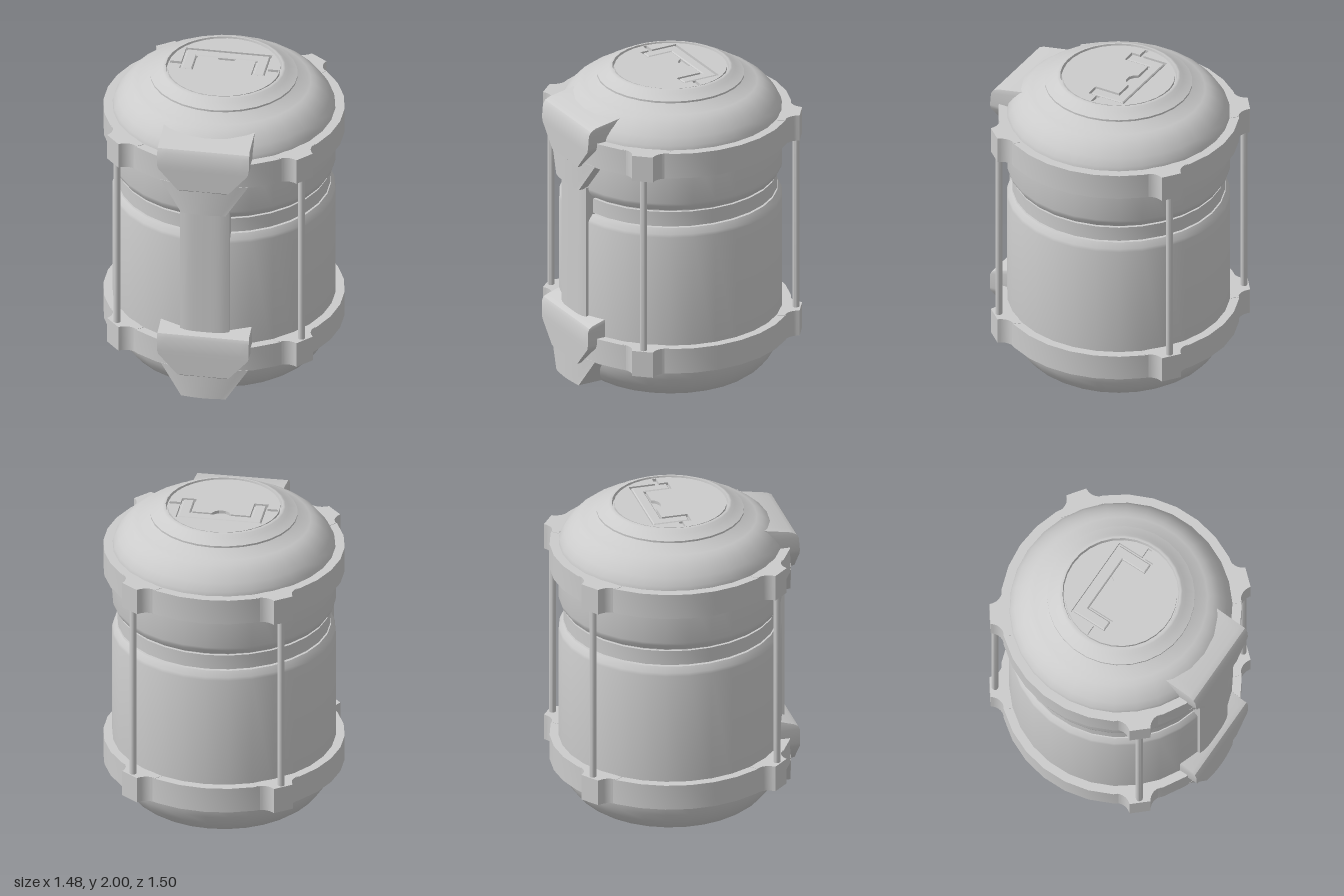
import * as THREE from 'three';
import { toCreasedNormals } from 'three/addons/utils/BufferGeometryUtils.js';

const SIDES = 30;
const material = new THREE.MeshStandardMaterial({ color: 0xcccccc });

function part(name, geometry, crease = 0.5) {
  const mesh = new THREE.Mesh(toCreasedNormals(geometry, crease), material);
  mesh.name = name;
  return mesh;
}

function lathe(name, profile) {
  return part(name, new THREE.LatheGeometry(profile.map(p => new THREE.Vector2(...p)), SIDES));
}

// A box reshaped row by row, bottom to top: [half width, front y, front z, back y, back z].
// bend(x, z) may curve the front face.
function slab(name, rows, bend = (x, z) => z) {
  const geo = new THREE.BoxGeometry(1, 1, 1, 10, rows.length - 1, 1);
  const p = geo.attributes.position;
  for (let i = 0; i < p.count; i++) {
    const [hw, fy, fz, by, bz] = rows[Math.round((p.getY(i) + 0.5) * (rows.length - 1))];
    const x = p.getX(i) * 2 * hw;
    if (p.getZ(i) > 0) p.setXYZ(i, x, fy, bend(x, fz));
    else p.setXYZ(i, x, by, bz);
  }
  return part(name, geo);
}

// Flat outline in the x / -z plane, extruded upwards from y
function flat(name, shape, y, height, bevel = 0) {
  const geo = new THREE.ExtrudeGeometry(shape, {
    depth: height - bevel, curveSegments: 15, bevelEnabled: bevel > 0,
    bevelThickness: bevel, bevelSize: bevel, bevelOffset: -bevel, bevelSegments: 1
  });
  geo.rotateX(-Math.PI / 2).translate(0, y, 0);
  return part(name, geo);
}

// U-shaped outline from its right half, mirrored to the left
function mirrored(half) {
  const left = half.map(([x, y]) => [-x, y]).reverse();
  return [...half, ...left].map(p => new THREE.Vector2(...p));
}

export function createModel() {
  const model = new THREE.Group();
  model.name = 'canister';

  // Body with a double groove, rounded shoulders and a stepped top
  model.add(lathe('body', [
    [0, 0], [0.3, 0.01], [0.55, 0.03], [0.59, 0.06], [0.63, 0.11], [0.665, 0.17], [0.685, 0.24],
    [0.69, 0.3], [0.69, 1.14], [0.685, 1.16], [0.662, 1.195], [0.64, 1.195], [0.64, 1.205],
    [0.658, 1.205], [0.658, 1.3], [0.64, 1.3], [0.64, 1.315], [0.662, 1.315], [0.685, 1.35],
    [0.69, 1.37], [0.69, 1.72], [0.682, 1.755], [0.655, 1.80], [0.615, 1.85], [0.57, 1.885],
    [0.535, 1.9], [0.52, 1.905], [0.455, 1.943], [0.455, 1.955], [0.4, 1.98], [0.38, 1.996],
    [0.37, 2], [0.36, 2], [0.355, 1.975], [0, 1.975]
  ]));

  // Lid disc with a sunken handle
  const lid = new THREE.Shape().absarc(0, 0, 0.347, 0, Math.PI * 2);
  const recess = mirrored([
    [0.27, 0.19], [0.27, 0.022], [0.338, 0.022], [0.338, -0.004], [0.27, -0.004],
    [0.27, -0.06], [0.18, -0.06], [0.18, 0.105], [0.06, 0.105], [0.045, 0.08], [0.02, 0.064]
  ]);
  lid.holes.push(new THREE.Path(recess));
  model.add(flat('lidDisc', lid, 1.97, 0.025));
  const handle = new THREE.Shape(mirrored([
    [0.258, 0.178], [0.258, -0.048], [0.192, -0.048], [0.192, 0.115]
  ]));
  model.add(flat('lidHandle', handle, 1.97, 0.024, 0.006));

  // Two hoops, each carrying four flared lugs
  const lugAngles = [48, -48, 143.5, -143.5].map(THREE.MathUtils.degToRad);
  const lugShape = new THREE.Shape();
  lugShape.moveTo(-0.15, -0.68).lineTo(0.15, -0.68).lineTo(0.145, -0.725);
  lugShape.quadraticCurveTo(0.075, -0.74, 0.065, -0.808);
  lugShape.lineTo(-0.065, -0.808);
  lugShape.quadraticCurveTo(-0.075, -0.74, -0.145, -0.725);
  for (const [label, y] of [['lower', 0.25], ['upper', 1.565]]) {
    model.add(lathe(label + 'Hoop', [[0.66, y], [0.745, y], [0.745, y + 0.165], [0.66, y + 0.165]]));
    for (const angle of lugAngles) {
      const lug = flat(label + 'Lug', lugShape, y - 0.002, 0.169);
      lug.rotation.y = angle;
      model.add(lug);
    }
  }

  // Thin rods joining the lugs
  for (const angle of lugAngles) {
    const rod = part('rod', new THREE.CylinderGeometry(0.022, 0.022, 1.18, 12), 0.7);
    rod.position.set(Math.sin(angle) * 0.777, 0.99, Math.cos(angle) * 0.777);
    model.add(rod);
  }

  // Front strap with softened edges
  model.add(slab('frontStrap', [
    [0.155, 0.25, 0.705, 0.25, 0.6], [0.155, 1.38, 0.705, 1.38, 0.6]
  ], (x, z) => z - 0.018 * Math.abs(x / 0.155) ** 4));

  // Tapered tongues hanging from the hoops, curved like them
  const curve = x => Math.sqrt(0.744 ** 2 - x * x);
  model.add(slab('upperTongue', [
    [0.14, 1.37, 0, 1.37, 0.66], [0.275, 1.57, 0, 1.57, 0.62]
  ], curve));
  model.add(slab('lowerTongue', [
    [0.14, 0.055, 0, 0.055, 0.54], [0.275, 0.255, 0, 0.255, 0.6]
  ], curve));

  // Shield-shaped clasps with sloping tops
  model.add(slab('upperClasp', [
    [0.145, 1.53, 0.738, 1.53, 0.64], [0.16, 1.54, 0.749, 1.54, 0.62], [0.28, 1.68, 0.749, 1.68, 0.58],
    [0.287, 1.705, 0.749, 1.705, 0.56], [0.287, 1.79, 0.742, 1.79, 0.52],
    [0.287, 1.815, 0.727, 1.835, 0.5], [0.284, 1.832, 0.695, 1.868, 0.5]
  ]));
  model.add(slab('lowerClasp', [
    [0.145, 0.205, 0.738, 0.205, 0.62], [0.16, 0.215, 0.75, 0.215, 0.6], [0.28, 0.35, 0.75, 0.35, 0.6],
    [0.287, 0.375, 0.75, 0.375, 0.6], [0.287, 0.47, 0.748, 0.47, 0.58],
    [0.287, 0.492, 0.738, 0.52, 0.58], [0.284, 0.505, 0.715, 0.546, 0.58]
  ]));

  return model;
}
